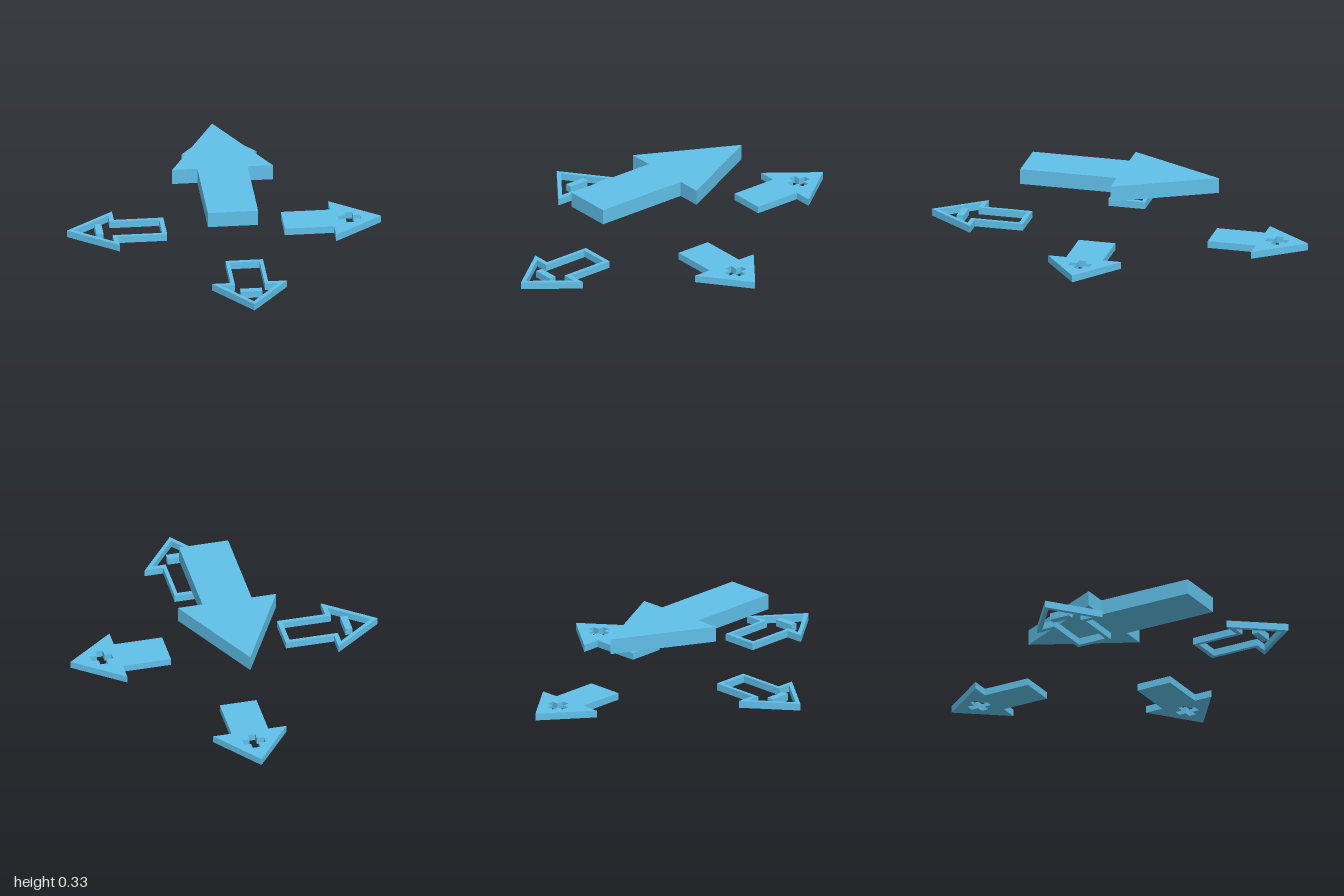
import * as THREE from 'three';

const material = new THREE.MeshStandardMaterial({ color: 0x60bfe8 });
const THICK = 0.037;

const points = (list) => list.map(([x, y]) => new THREE.Vector2(x, y));

// Arrow outline with its tip at y = 0, pointing along +y
function arrowPoints(tip, shoulder, base, head, shaft) {
  return points([
    [0, tip], [-head, shoulder], [-shaft, shoulder], [-shaft, base],
    [shaft, base], [shaft, shoulder], [head, shoulder],
  ]);
}

// Plus outline centred on (0, cy)
function plusPoints(cy, r, w) {
  return points([
    [-w, r], [-w, w], [-r, w], [-r, -w], [-w, -w], [-w, -r],
    [w, -r], [w, -w], [r, -w], [r, w], [w, w], [w, r],
  ].map(([x, y]) => [x, y + cy]));
}

// Extrude an outline and lay it flat: outline +y becomes -z
function plate(name, outline, hole, height) {
  const shape = new THREE.Shape(outline);
  if (hole) shape.holes.push(new THREE.Path(hole));
  const geometry = new THREE.ExtrudeGeometry(shape, { depth: height, bevelEnabled: false });
  geometry.rotateX(-Math.PI / 2);
  const mesh = new THREE.Mesh(geometry, material);
  mesh.name = name;
  return mesh;
}

// Solid arrow with a plus cut through, or outlined arrow holding a minus bar
function smallArrow(name, solid) {
  const group = new THREE.Group();
  group.name = name;
  const outer = arrowPoints(0, -0.253, -0.508, 0.194, 0.097);
  if (solid) {
    group.add(plate('plusArrow', outer, plusPoints(-0.164, 0.057, 0.02), THICK));
  } else {
    const inner = arrowPoints(-0.035, -0.228, -0.484, 0.148, 0.077);
    group.add(plate('arrowOutline', outer, inner, THICK));
    const bar = new THREE.Mesh(new THREE.BoxGeometry(0.112, THICK, 0.037), material);
    bar.name = 'minusBar';
    bar.position.set(0, THICK / 2, 0.165);
    group.add(bar);
  }
  return group;
}

export function createModel() {
  const model = new THREE.Group();
  model.name = 'directionArrows';

  // Large raised arrow pointing to the back
  const main = plate('mainArrow', arrowPoints(0.51, 0.002, -0.51, 0.26, 0.13), null, 0.081);
  main.position.set(-0.003, 0.246, 0);
  model.add(main);

  // Four ground arrows: name, solid, tip x, tip z, turn
  const ring = [
    ['backArrow', true, 0.057, -1, 0],
    ['leftArrow', true, 0.81, 0.057, -Math.PI / 2],
    ['frontArrow', false, 0.057, 0.997, Math.PI],
    ['rightArrow', false, -0.813, 0.057, Math.PI / 2],
  ];
  for (const [name, solid, x, z, turn] of ring) {
    const arrow = smallArrow(name, solid);
    arrow.position.set(x, 0, z);
    arrow.rotation.y = turn;
    model.add(arrow);
  }
  return model;
}
